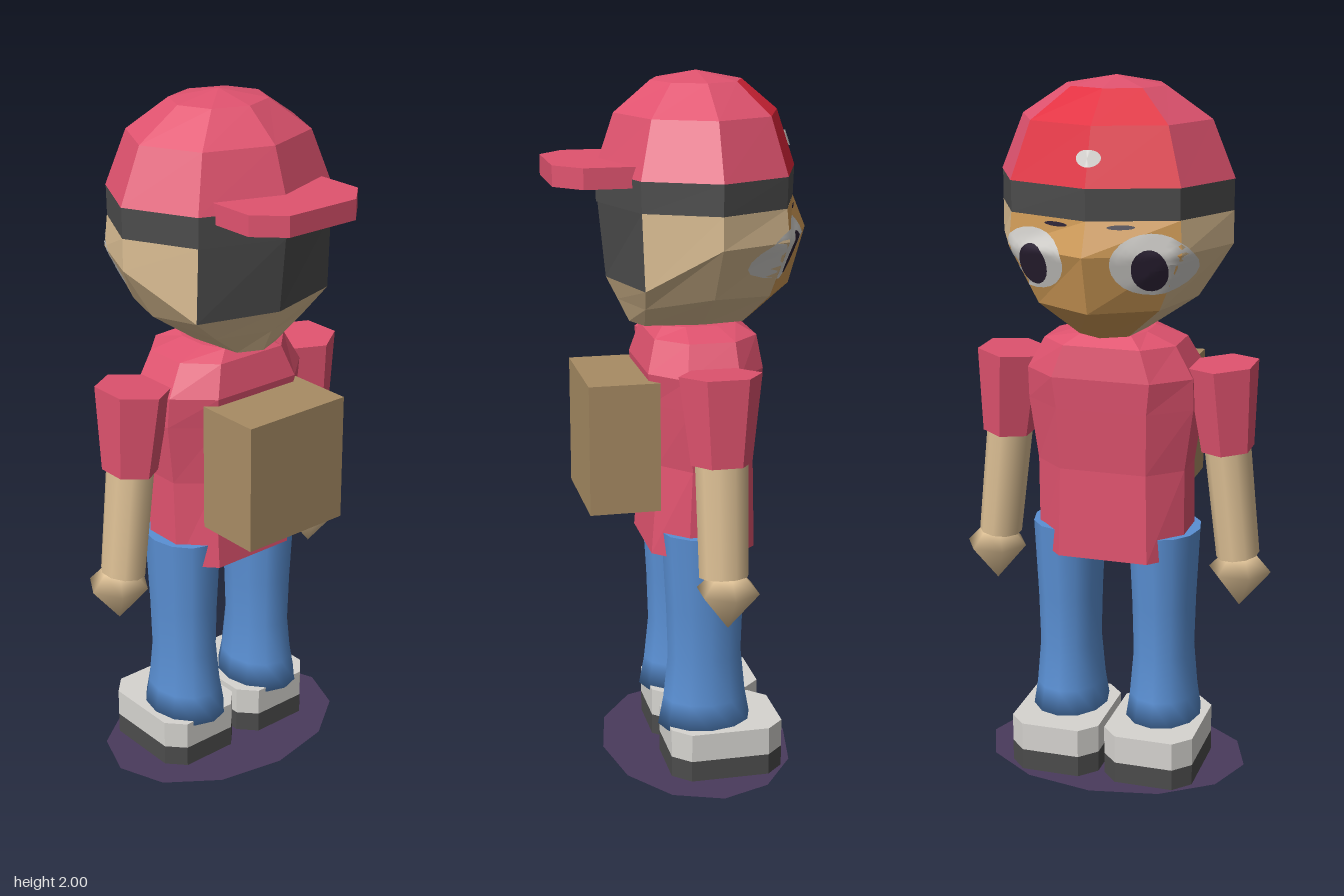
import * as THREE from 'three';

const mat = (name, color, side = THREE.FrontSide) =>
  Object.assign(new THREE.MeshStandardMaterial({ color, side }), { name });

const Z = -0.05; // body axis

// Eight-sided ring, starting at +z and turning towards +x
const oval = (y, rx, rz) => Array.from({ length: 8 }, (_, i) => {
  const a = i * Math.PI / 4;
  return [rx * Math.sin(a), y, Z + rz * Math.cos(a)];
});

// Five points of one side, mirrored into an eight-sided ring
const mirrored = (half) =>
  [...half, ...[3, 2, 1].map((i) => [-half[i][0], half[i][1], half[i][2]])];

// Box-like ring with chamfered corners
const chamfered = (y, x, cx, z0, z1, c) => [
  [cx, y, z1], [x, y, z1 - c], [x, y, z0 + c], [cx, y, z0],
  [-cx, y, z0], [-x, y, z0 + c], [-x, y, z1 - c], [-cx, y, z1],
];

// Faceted skin over rings listed from bottom to top
function loft(rings, pick = () => true, caps = false) {
  const p = [];
  const tri = (a, b, c) => p.push(...a, ...b, ...c);
  for (let r = 0; r < rings.length - 1; r++) {
    const lo = rings[r], hi = rings[r + 1], n = lo.length;
    for (let i = 0; i < n; i++) {
      if (!pick(r, i)) continue;
      const j = (i + 1) % n;
      tri(lo[i], lo[j], hi[j]);
      tri(lo[i], hi[j], hi[i]);
    }
  }
  if (caps) {
    const lo = rings[0], hi = rings[rings.length - 1];
    for (let i = 1; i < lo.length - 1; i++) {
      tri(lo[0], lo[i + 1], lo[i]);
      tri(hi[0], hi[i], hi[i + 1]);
    }
  }
  const g = new THREE.BufferGeometry();
  g.setAttribute('position', new THREE.Float32BufferAttribute(p, 3));
  g.computeVertexNormals();
  return g;
}

// Thin oval laid on the -z side of the target meshes
function patch(targets, x, y, rx, ry, lift) {
  const g = new THREE.RingGeometry(0.001, 1, 24, 6).rotateY(Math.PI);
  const pos = g.attributes.position;
  const ray = new THREE.Raycaster();
  let z = -0.3;
  for (let i = 0; i < pos.count; i++) {
    const px = x + pos.getX(i) * rx, py = y + pos.getY(i) * ry;
    ray.set(new THREE.Vector3(px, py, -2), new THREE.Vector3(0, 0, 1));
    const hit = ray.intersectObjects(targets)[0];
    if (hit) z = hit.point.z;
    pos.setXYZ(i, px, py, z - lift);
  }
  g.computeVertexNormals();
  return g;
}

export function createModel() {
  const model = new THREE.Group();
  const pink = mat('pink cloth', 0xe0536f);
  const red = mat('red cloth', 0xe0263a);
  const charcoal = mat('charcoal', 0x4c4c4c);
  const skin = mat('skin', 0xdcbf94);
  const faceTan = mat('face tan', 0xcf9a56);
  const pale = mat('pale grey', 0xd6d4d0, THREE.DoubleSide);
  const denim = mat('denim', 0x5a90d4);
  const canvas = mat('canvas brown', 0xa88c64);
  const purple = mat('ground purple', 0x4a3a5c, THREE.DoubleSide);
  const ink = mat('dark ink', 0x2b2134, THREE.DoubleSide);
  const add = (name, geometry, material) => {
    const m = new THREE.Mesh(geometry, material);
    m.name = name;
    model.add(m);
    return m;
  };

  // Head: tan face on the -z side, dark hair on the +z side
  const headRings = [
    [[0, 1.31, 0.14], [0.07, 1.31, 0.11], [0.09, 1.31, Z], [0.07, 1.31, -0.17], [0, 1.31, -0.21]],
    [[0, 1.375, 0.172], [0.157, 1.375, 0.125], [0.235, 1.41, Z], [0.17, 1.4, -0.22], [0, 1.4, -0.32]],
    [[0, 1.44, 0.205], [0.235, 1.44, 0.14], [0.33, 1.56, Z], [0.24, 1.56, -0.255], [0, 1.56, -0.367]],
    [[0, 1.65, 0.226], [0.234, 1.65, 0.148], [0.33, 1.65, Z], [0.234, 1.65, -0.248], [0, 1.65, -0.33]],
  ].map(mirrored);
  const isFront = (i) => i === 3 || i === 4;
  const isHair = (r, i) => r === 2 && (i === 7 || i === 0);
  const head = add('head', loft(headRings, (r, i) => !isFront(i) && !isHair(r, i), true), skin);
  const face = add('face', loft(headRings, (r, i) => isFront(i)), faceTan);
  add('hair', loft(headRings, isHair), charcoal);

  // Cap: band, dome, red panel and brim
  add('capBand', loft([oval(1.65, 0.33, 0.28), oval(1.735, 0.33, 0.283)]), charcoal);
  const domeRings = [oval(1.735, 0.332, 0.283), oval(1.89, 0.268, 0.23),
    oval(1.975, 0.14, 0.128), oval(2, 0, 0)];
  const isPanel = (r, i) => r < 2 && isFront(i);
  add('capDome', loft(domeRings, (r, i) => !isPanel(r, i)), pink);
  const panel = add('capPanel', loft(domeRings, isPanel), red);
  const brim = new THREE.Shape([[-0.19, 0.1], [0.19, 0.1], [0.19, 0.295], [0.115, 0.367],
    [-0.115, 0.367], [-0.19, 0.295]].map(([x, z]) => new THREE.Vector2(x, z)));
  add('capBrim', new THREE.ExtrudeGeometry(brim, { depth: 0.057, bevelEnabled: false })
    .rotateX(Math.PI / 2).translate(0, 1.768, 0), pink);
  add('capPatch', patch([panel], 0, 1.81, 0.034, 0.022, 0.005), pale);

  // Shirt
  add('shirt', loft([
    chamfered(0.66, 0.215, 0.13, -0.195, 0.105, 0.09),
    chamfered(0.92, 0.215, 0.125, -0.19, 0.085, 0.08),
    chamfered(1.1, 0.24, 0.13, -0.205, 0.105, 0.09),
    chamfered(1.19, 0.24, 0.14, -0.212, 0.115, 0.09),
    chamfered(1.28, 0.19, 0.11, -0.2, 0.09, 0.08),
    chamfered(1.308, 0.1, 0.07, -0.15, 0.06, 0.06),
  ], undefined, true), pink);

  // Backpack
  add('backpack', new THREE.BoxGeometry(0.34, 0.37, 0.2).translate(0, 0.985, 0.186), canvas);

  for (const s of [1, -1]) {
    const side = s > 0 ? 'left' : 'right';

    // Eyes and brows
    add(side + 'Eye', patch([head, face], s * 0.165, 1.535, 0.1, 0.085, 0.005), pale);
    add(side + 'Pupil', patch([head, face], s * 0.162, 1.52, 0.045, 0.058, 0.009), ink);
    add(side + 'Brow', patch([head, face], s * 0.09, 1.635, 0.035, 0.006, 0.005), ink);

    // Arm: sleeve, forearm and pointed hand
    const sleeve = new THREE.CylinderGeometry(0.116, 0.086, 0.245, 6).toNonIndexed();
    sleeve.computeVertexNormals();
    sleeve.scale(0.88, 1, 1).rotateZ(s * 0.07).translate(s * 0.316, 1.1, Z);
    add(side + 'Sleeve', sleeve, pink);
    add(side + 'Forearm', new THREE.CylinderGeometry(0.075, 0.07, 0.35, 10)
      .scale(0.87, 1, 1).rotateZ(s * 0.11).translate(s * 0.34, 0.84, Z), skin);
    const hand = [[0, 0.515], [0.09, 0.625], [0.05, 0.668], [0, 0.675]]
      .map(([r, y]) => new THREE.Vector2(r, y));
    add(side + 'Hand', new THREE.LatheGeometry(hand, 6).rotateY(Math.PI / 2)
      .translate(s * 0.368, 0, -0.06), skin);

    // Trouser leg
    const leg = [[0, 0.135], [0.113, 0.135], [0.1, 0.22], [0.089, 0.35], [0.093, 0.5], [0.104, 0.728]]
      .map(([r, y]) => new THREE.Vector2(r, y));
    add(side + 'Leg', new THREE.LatheGeometry(leg, 12).scale(1, 1, 1.22)
      .translate(s * 0.143, 0, -0.047), denim);
    add(side + 'LegTop', new THREE.CircleGeometry(0.104, 12).rotateX(-Math.PI / 2)
      .scale(1, 1, 1.22).translate(s * 0.143, 0.728, -0.047), denim);

    // Shoe: dark sole under a pale upper
    const shoe = (y0, y1) => loft([y0, y1].map((y) => chamfered(y, 0.132, 0.085, -0.26, 0.068, 0.05)),
      undefined, true).translate(s * 0.141, 0, 0);
    add(side + 'Sole', shoe(0, 0.065), charcoal);
    add(side + 'Shoe', shoe(0.065, 0.148), pale);
  }

  // Flat twelve-sided ground disc
  add('groundDisc', new THREE.CircleGeometry(1, 12).rotateX(-Math.PI / 2)
    .scale(0.39, 1, 0.28).translate(0, 0.003, Z), purple);
  return model;
}
